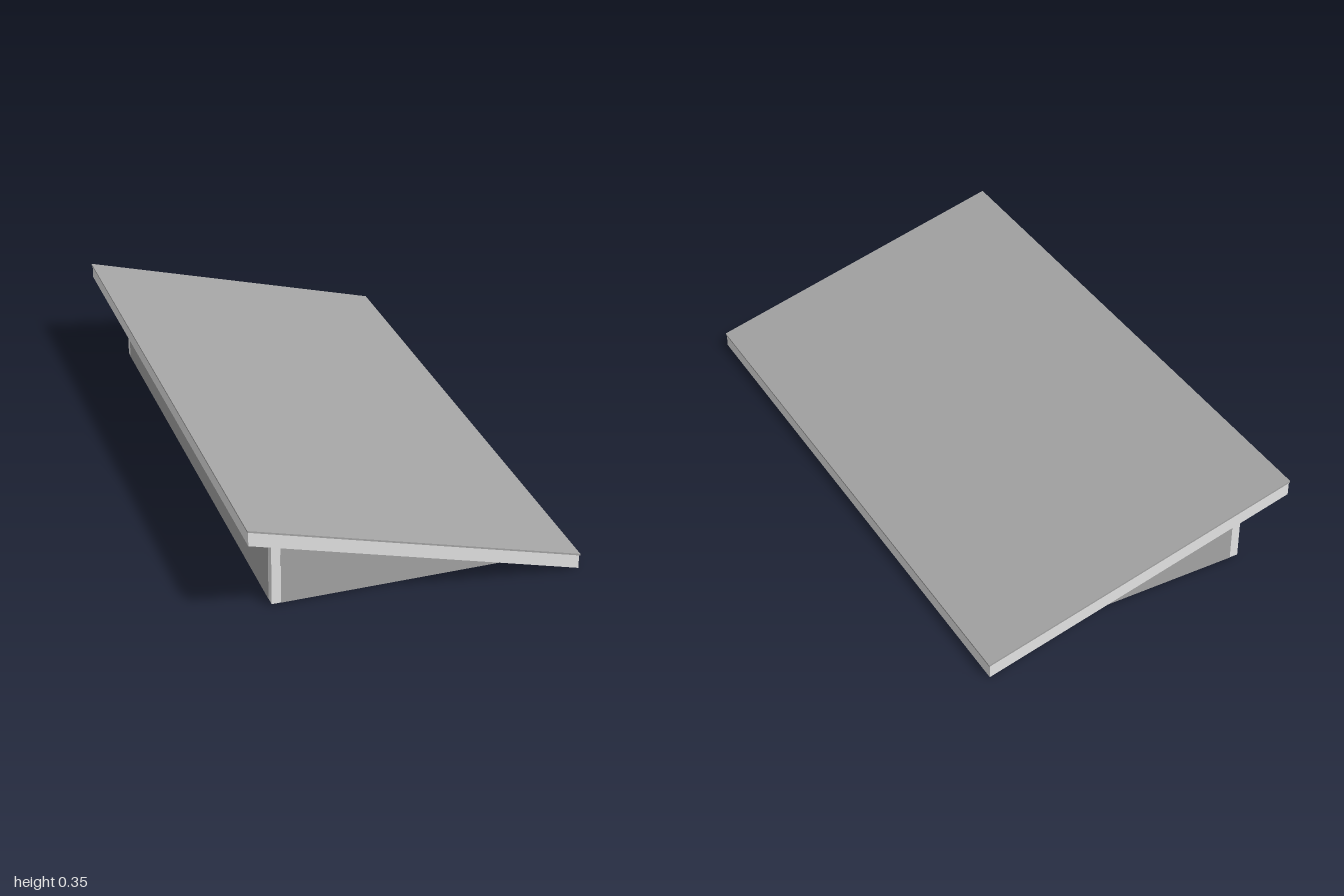
import * as THREE from 'three';

const SLOPE = 0.2705;
const FLOOR = 0.006;
const RECESS = 0.01; // deck underside sits this far above the fascia bottom
// height of the fascia bottom edge at a given x
const eave = (x) => 0.146 - SLOPE * x;

export function createModel() {
  const model = new THREE.Group();
  const pale = new THREE.MeshStandardMaterial({ color: 0xe5e5e5 });
  pale.name = 'pale grey';
  const dark = new THREE.MeshStandardMaterial({ color: 0xa5a5a5 });
  dark.name = 'mid grey';

  // Outline in x/y extruded between two z positions
  function prism(name, points, z0, z1, material) {
    const shape = new THREE.Shape(points.map(([x, y]) => new THREE.Vector2(x, y)));
    const geometry = new THREE.ExtrudeGeometry(shape, { depth: z1 - z0, bevelEnabled: false });
    geometry.translate(0, 0, z0);
    const mesh = new THREE.Mesh(geometry, material);
    mesh.name = name;
    model.add(mesh);
  }
  // Sloping piece, low and high are offsets above the fascia bottom
  const slab = (x0, x1, low, high) => [
    [x0, eave(x0) + low], [x1, eave(x1) + low],
    [x1, eave(x1) + high], [x0, eave(x0) + high],
  ];
  // Wall outline standing on the floor and cut to the roof deck
  const wall = (x0, x1) => [
    [x0, FLOOR], [x1, FLOOR], [x1, eave(x1) + RECESS], [x0, eave(x0) + RECESS],
  ];

  // Roof deck and its thin covering
  const RX = 0.539, RZ = 0.998, RIM = 0.006, TOP = 0.047;
  prism('roofDeck', slab(-RX + RIM, RX - RIM, RECESS, TOP), -RZ + RIM, RZ - RIM, pale);
  prism('roofCovering', slab(-0.542, 0.542, TOP, TOP + 0.006), -1, 1, dark);

  // Ceiling lining between the walls
  const X = 0.439, Z = 0.899, T = 0.03, SKIN = 0.001;
  prism('ceiling', slab(-X + T, X - T, -0.025, RECESS), -Z + T, Z - T, pale);

  for (const s of [-1, 1]) {
    const side = s > 0 ? 'front' : 'back';
    const end = s > 0 ? 'left' : 'right';
    const span = (a, b) => (s > 0 ? [a, b] : [-b, -a]);

    // Fascia boards around the roof edge
    prism(side + 'Fascia', slab(-RX, RX, 0, TOP), ...span(RZ - RIM, RZ), pale);
    prism(end + 'Fascia', slab(...span(RX - RIM, RX), 0, TOP), -RZ + RIM, RZ - RIM, pale);

    // Walls and outer cladding, which leaves pale corner strips
    prism(side + 'EndWall', wall(-X + T, X - T), ...span(Z - T, Z), pale);
    prism(side + 'EndCladding', wall(-X + T, X - T), ...span(Z, Z + SKIN), dark);
    prism(end + 'LongWall', wall(...span(X - T, X)), -Z, Z, pale);
    prism(end + 'LongCladding', wall(...span(X, X + SKIN)), -Z + T, Z - T, dark);
  }
  return model;
}
